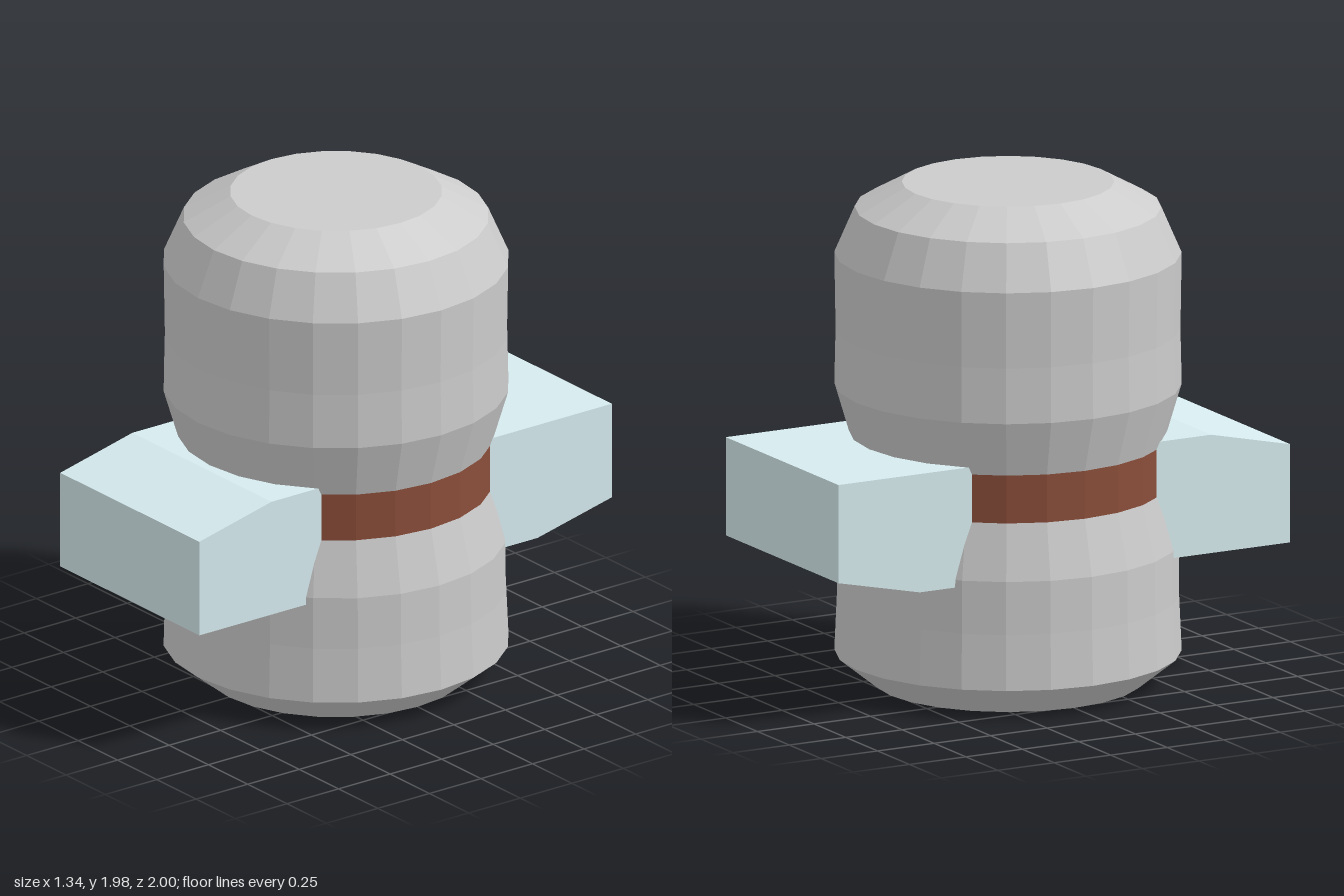
import * as THREE from 'three';

const SIDES = 24;

function material(color) {
  return new THREE.MeshStandardMaterial({ color, flatShading: true });
}

// Faceted solid of revolution from [radius, height] pairs, bottom to top
function turned(name, profile, mat) {
  const points = profile.map(([r, y]) => new THREE.Vector2(r, y));
  const mesh = new THREE.Mesh(new THREE.LatheGeometry(points, SIDES), mat);
  mesh.name = name;
  return mesh;
}

export function createModel() {
  const model = new THREE.Group();
  model.name = 'capsule';
  const grey = material(0xcccccc);
  const rust = material(0x8a4d39);
  const paleBlue = material(0xd6ebef);

  // Lower body, waist band and upper body share their rims
  model.add(
    turned('lowerBody', [
      [0, 0], [0.52, 0], [0.67, 0.12], [0.66, 0.34], [0.658, 0.55], [0.605, 0.77],
    ], grey),
    turned('waistBand', [[0.605, 0.77], [0.605, 0.96]], rust),
    turned('upperBody', [
      [0.605, 0.96], [0.67, 1.18], [0.665, 1.4], [0.67, 1.7],
      [0.592, 1.88], [0.41, 1.98], [0, 1.98],
    ], grey),
  );

  // Crossbar through the waist: side outline (z, y), sloped at front top and back bottom
  const outline = new THREE.Shape([
    [-1, 0.6], [-0.64, 0.52], [1, 0.52], [1, 0.91], [0.65, 0.99], [-1, 0.99],
  ].map(([z, y]) => new THREE.Vector2(z, y)));
  const width = 0.885;
  const barGeometry = new THREE.ExtrudeGeometry(outline, { depth: width, bevelEnabled: false });
  barGeometry.rotateY(-Math.PI / 2).translate(width / 2, 0, 0);
  const bar = new THREE.Mesh(barGeometry, paleBlue);
  bar.name = 'crossbar';
  model.add(bar);

  return model;
}
